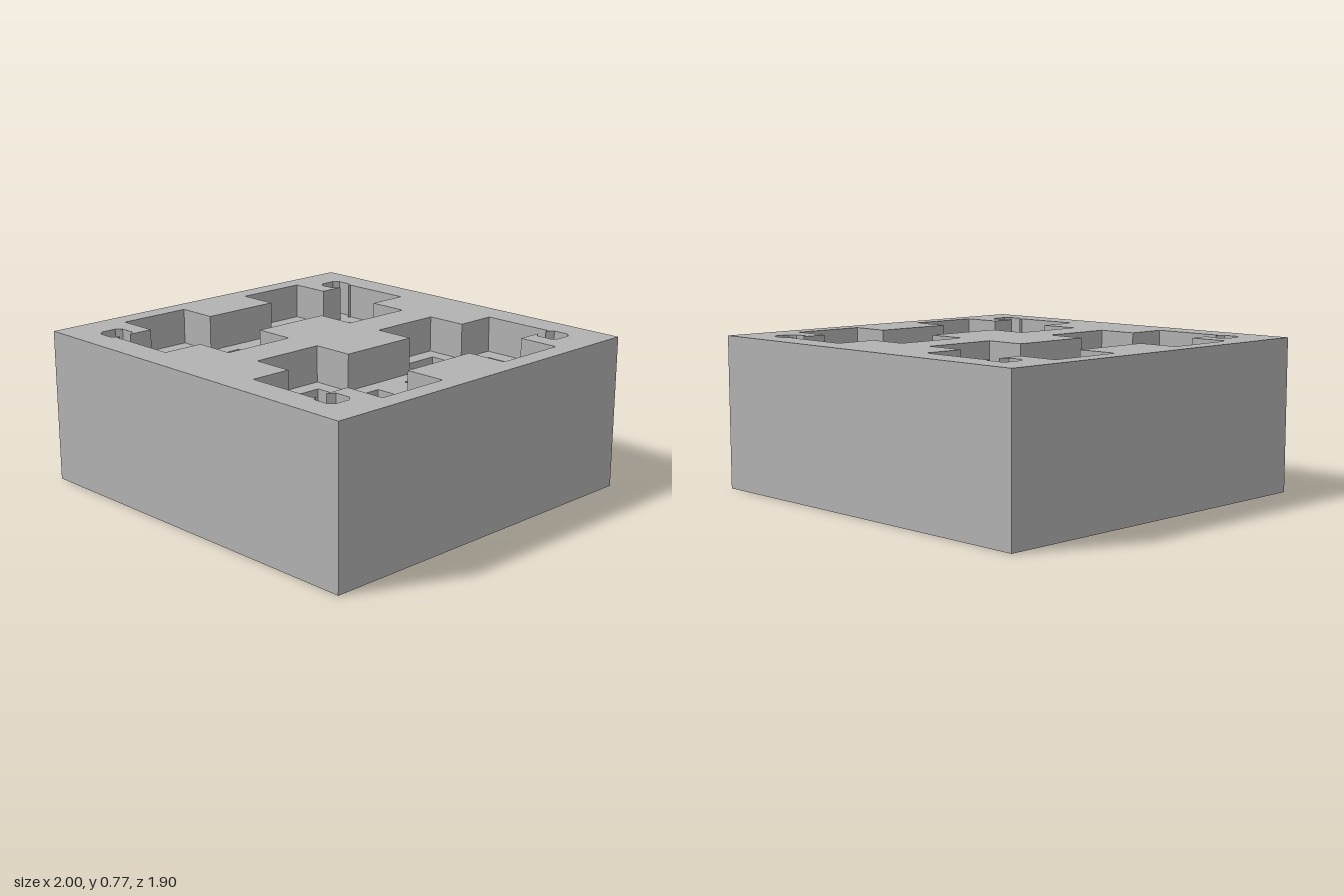
import * as THREE from 'three';

const TOP = 0.77, LEDGE = 0.59, FLOOR = 0.49;

// Plan outlines are counterclockwise [x, -z] pairs
const mirrorDepth = (pts) => pts.map(([x, y]) => [x, -y]).reverse();
const mirrorSide = (pts) => pts.map(([x, y]) => [-x, y]).reverse();

function toShape(pts, holes = []) {
  const path = (p) => p.map(([x, y]) => new THREE.Vector2(x, y));
  const shape = new THREE.Shape(path(pts));
  shape.holes = holes.map((h) => new THREE.Path(path(h)));
  return shape;
}

export function createModel() {
  const group = new THREE.Group();
  const grey = new THREE.MeshStandardMaterial({ color: 0xb2b2b2 });

  const add = (name, geometry) => {
    const mesh = new THREE.Mesh(geometry, grey);
    mesh.name = name;
    group.add(mesh);
  };

  // Flat horizontal face at height y
  const face = (name, shape, y, down = false) => {
    const g = new THREE.ShapeGeometry(shape);
    g.rotateX(down ? Math.PI / 2 : -Math.PI / 2);
    g.translate(0, y, 0);
    add(name, g);
  };

  // Vertical walls along an outline, facing outward, or inward for pockets
  const walls = (name, outline, y0, y1, inward = false) => {
    const pts = inward ? [...outline].reverse() : outline;
    const v = [];
    pts.forEach(([ax, ay], i) => {
      const [bx, by] = pts[(i + 1) % pts.length];
      v.push(ax, y0, -ay, bx, y0, -by, bx, y1, -by);
      v.push(ax, y0, -ay, bx, y1, -by, ax, y1, -ay);
    });
    const g = new THREE.BufferGeometry();
    g.setAttribute('position', new THREE.Float32BufferAttribute(v, 3));
    g.computeVertexNormals();
    add(name, g);
  };

  // Double-cross pocket with round corner reliefs opening into its outer edge
  const relief = [
    [0.69, -0.78], [0.715, -0.816], [0.795, -0.816], [0.821, -0.79],
    [0.821, -0.71], [0.795, -0.684], [0.715, -0.684], [0.69, -0.72],
  ];
  const half = [
    [0.31, -0.21], [0.1, -0.21], [0.1, -0.59], [0.31, -0.59], [0.31, -0.8], [0.69, -0.8],
    ...relief,
    [0.69, -0.59], [0.9, -0.59], [0.9, -0.21], [0.69, -0.21],
  ];
  const pocket = [...half, ...mirrorDepth(half)];

  // Smaller, deeper cross recess
  const cross = [
    [0.39, -0.71], [0.61, -0.71], [0.61, -0.515], [0.81, -0.515], [0.81, -0.285], [0.61, -0.285],
    [0.61, -0.09], [0.39, -0.09], [0.39, -0.285], [0.185, -0.285], [0.185, -0.515], [0.39, -0.515],
  ];
  const crosses = [cross, mirrorDepth(cross)];

  // Block shell
  const block = [[-1, -0.95], [1, -0.95], [1, 0.95], [-1, 0.95]];
  face('blockTop', toShape(block, [pocket, mirrorSide(pocket)]), TOP);
  face('blockBottom', toShape(block), 0, true);
  walls('blockSides', block, 0, TOP);

  // Pockets and recesses on both sides
  for (const [side, flip] of [['left', (p) => p], ['right', mirrorSide]]) {
    const outline = flip(pocket), recesses = crosses.map(flip);
    walls(side + 'PocketWalls', outline, LEDGE, TOP, true);
    face(side + 'PocketLedge', toShape(outline, recesses), LEDGE);
    recesses.forEach((r, i) => {
      const name = side + (i ? 'Back' : 'Front') + 'Recess';
      walls(name + 'Walls', r, FLOOR, LEDGE, true);
      face(name + 'Floor', toShape(r), FLOOR);
    });
  }
  return group;
}
